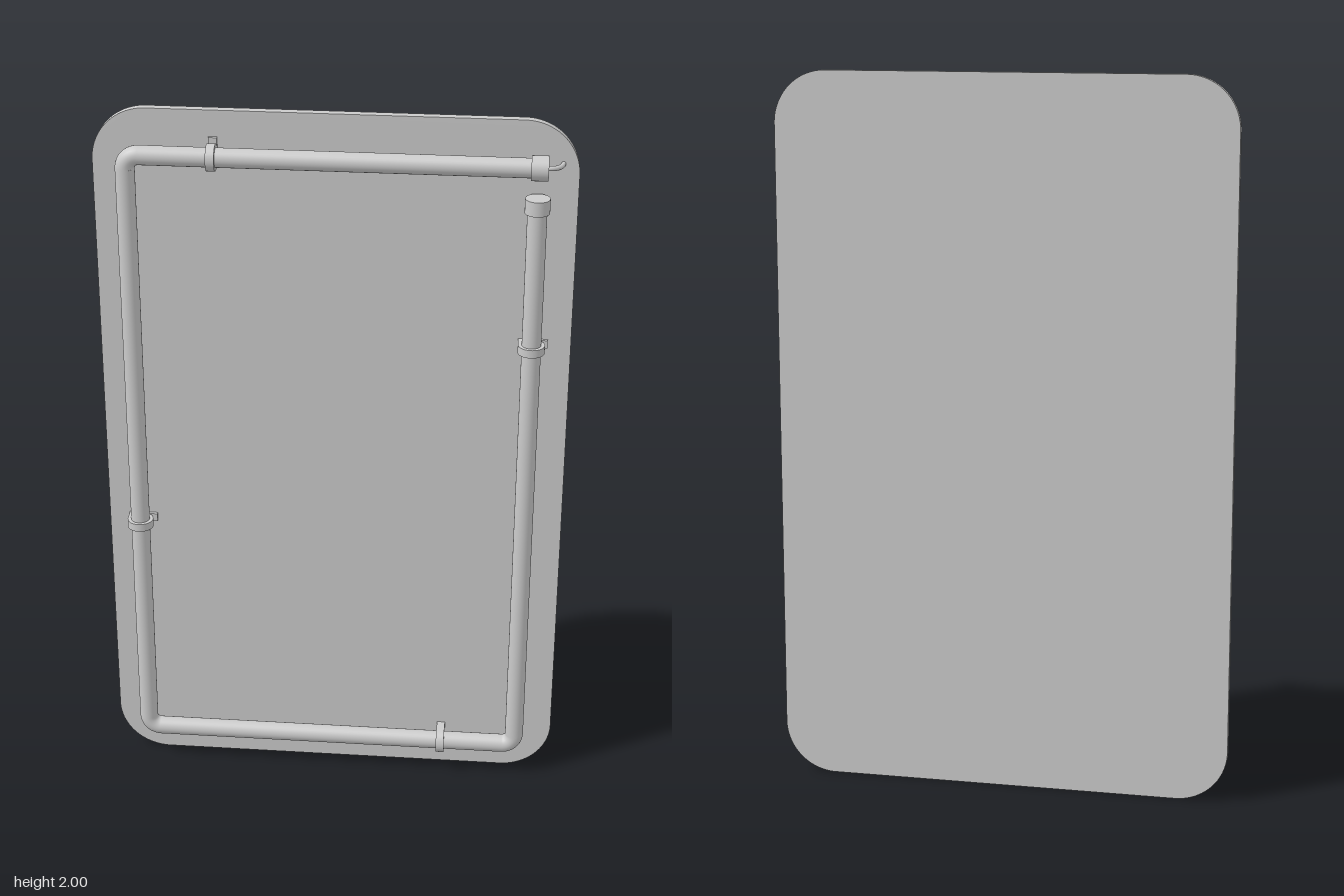
import * as THREE from 'three';

const MAT = new THREE.MeshStandardMaterial({ color: 0xcccccc });
const PANEL_BACK = -0.05, PANEL_FRONT = -0.027; // panel faces in z
const TZ = 0.012, TR = 0.026;                   // pipe axis depth and radius
const L = -0.544, R = 0.532, B = 0.1, T = 1.885; // pipe axis rectangle
const BEND = 0.036;                             // bend radius of the corners

function add(parent, geometry, name, x = 0, y = 0, z = 0) {
  const mesh = new THREE.Mesh(geometry, MAT);
  mesh.name = name;
  mesh.position.set(x, y, z);
  parent.add(mesh);
  return mesh;
}

// Rounded back panel
function panelGeometry() {
  const w = 0.637, h = 2, r = 0.145, s = new THREE.Shape();
  s.absarc(w - r, h - r, r, 0, Math.PI / 2);
  s.absarc(-w + r, h - r, r, Math.PI / 2, Math.PI);
  s.absarc(-w + r, r, r, Math.PI, Math.PI * 1.5);
  s.absarc(w - r, r, r, Math.PI * 1.5, Math.PI * 2);
  s.closePath();
  return new THREE.ExtrudeGeometry(s, {
    depth: PANEL_FRONT - PANEL_BACK, bevelEnabled: false, curveSegments: 16,
  });
}

// Straight cylinder between two points in the pipe plane
function rod(parent, name, x1, y1, x2, y2, radius) {
  const len = Math.hypot(x2 - x1, y2 - y1);
  const m = add(parent, new THREE.CylinderGeometry(radius, radius, len, 32), name,
    (x1 + x2) / 2, (y1 + y2) / 2, TZ);
  m.rotation.z = Math.atan2(y2 - y1, x2 - x1) - Math.PI / 2;
  return m;
}

// Saddle clip: strap around the pipe, straight on one side, foot on the other
function clipGeometry() {
  const width = 0.023, r = 0.036, base = PANEL_FRONT - TZ, foot = 0.009;
  const s = new THREE.Shape();
  s.moveTo(-r, base);
  s.lineTo(0.043, base);
  s.lineTo(0.043, base + foot);
  s.lineTo(r * Math.cos(-0.9), base + foot);
  s.absarc(0, 0, r, -0.9, Math.PI, false);
  s.closePath();
  const hole = new THREE.Path();
  hole.absarc(0, 0, TR, 0, Math.PI * 2, true);
  s.holes.push(hole);
  const g = new THREE.ExtrudeGeometry(s, { depth: width, bevelEnabled: false, curveSegments: 24 });
  g.translate(0, 0, -width / 2);
  g.rotateX(Math.PI / 2);
  return g;
}

export function createModel() {
  const model = new THREE.Group();
  model.name = 'wallPanelWithPipe';
  add(model, panelGeometry(), 'backPanel', 0, 0, PANEL_BACK);

  // Pipe running round the panel, open at the upper right corner
  const pipe = new THREE.Group();
  pipe.name = 'pipe';
  model.add(pipe);
  rod(pipe, 'topPipe', 0.55, T, L + BEND, T, TR);
  rod(pipe, 'rightSidePipe', L, T - BEND, L, B + BEND, TR);
  rod(pipe, 'bottomPipe', L + BEND, B, R - BEND, B, TR);
  rod(pipe, 'leftSidePipe', R, B + BEND, R, 1.79, TR);
  const elbow = new THREE.TorusGeometry(BEND, TR, 24, 12, Math.PI / 2);
  [
    [L + BEND, T - BEND, Math.PI / 2],
    [L + BEND, B + BEND, Math.PI],
    [R - BEND, B + BEND, Math.PI * 1.5],
  ].forEach(([x, y, turn]) => {
    add(pipe, elbow, 'pipeElbow', x, y, TZ).rotation.z = turn;
  });

  // End caps
  rod(model, 'topEndCap', 0.512, T, 0.557, T, 0.033);
  rod(model, 'sideEndCap', R, 1.763, R, 1.803, 0.033);

  // Cable bending from the top cap back into the panel
  const cable = new THREE.QuadraticBezierCurve3(
    new THREE.Vector3(0.55, T, TZ),
    new THREE.Vector3(0.594, T, TZ),
    new THREE.Vector3(0.594, T, PANEL_FRONT - 0.004));
  add(model, new THREE.TubeGeometry(cable, 14, 0.0065, 12), 'cable');

  // Clips holding the pipe
  const clip = clipGeometry();
  [
    [-0.316, T, Math.PI / 2],
    [L, 0.788, 0],
    [0.317, B, -Math.PI / 2],
    [R, 1.375, 0],
  ].forEach(([x, y, turn]) => {
    add(model, clip, 'pipeClip', x, y, TZ).rotation.z = turn;
  });
  return model;
}
